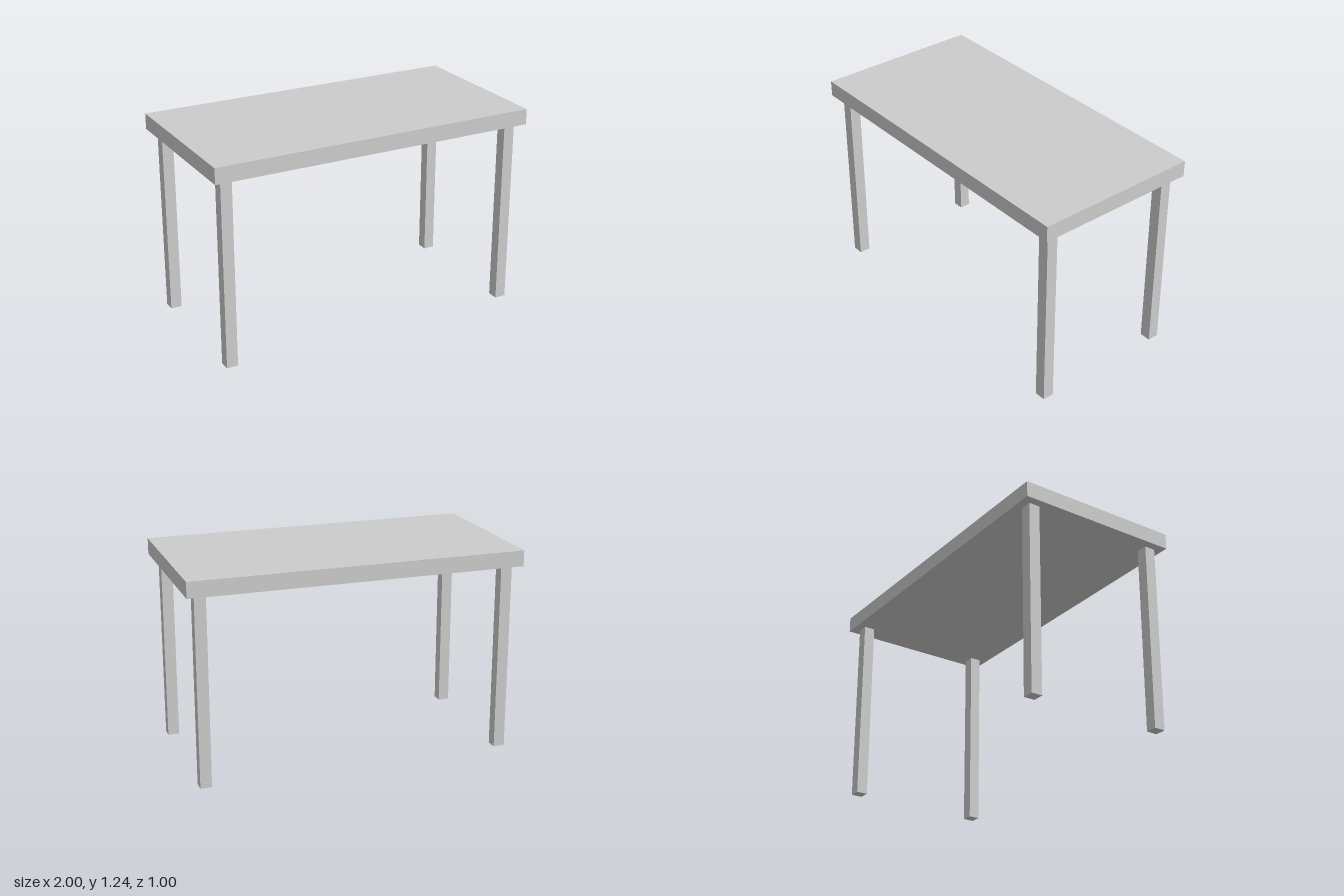
import * as THREE from 'three';

const WIDTH = 2, DEPTH = 1, HEIGHT = 1.235;
const TOP_THICKNESS = 0.095;
const LEG = 0.068;   // square leg section
const INSET = 0.05;  // gap from table edge to leg

export function createModel() {
  const group = new THREE.Group();
  group.name = 'table';
  const material = new THREE.MeshStandardMaterial({ color: 0xcccccc });

  const addBox = (name, w, h, d, x, y, z) => {
    const mesh = new THREE.Mesh(new THREE.BoxGeometry(w, h, d), material);
    mesh.name = name;
    mesh.position.set(x, y, z);
    group.add(mesh);
  };

  // Slab top
  addBox('tabletop', WIDTH, TOP_THICKNESS, DEPTH, 0, HEIGHT - TOP_THICKNESS / 2, 0);

  // Four square legs, inset from the corners
  const legHeight = HEIGHT - TOP_THICKNESS;
  const legX = WIDTH / 2 - INSET - LEG / 2;
  const legZ = DEPTH / 2 - INSET - LEG / 2;
  for (const [side, sx] of [['Left', 1], ['Right', -1]]) {
    for (const [end, sz] of [['front', 1], ['back', -1]]) {
      addBox(`${end}${side}Leg`, LEG, legHeight, LEG, sx * legX, legHeight / 2, sz * legZ);
    }
  }

  return group;
}
